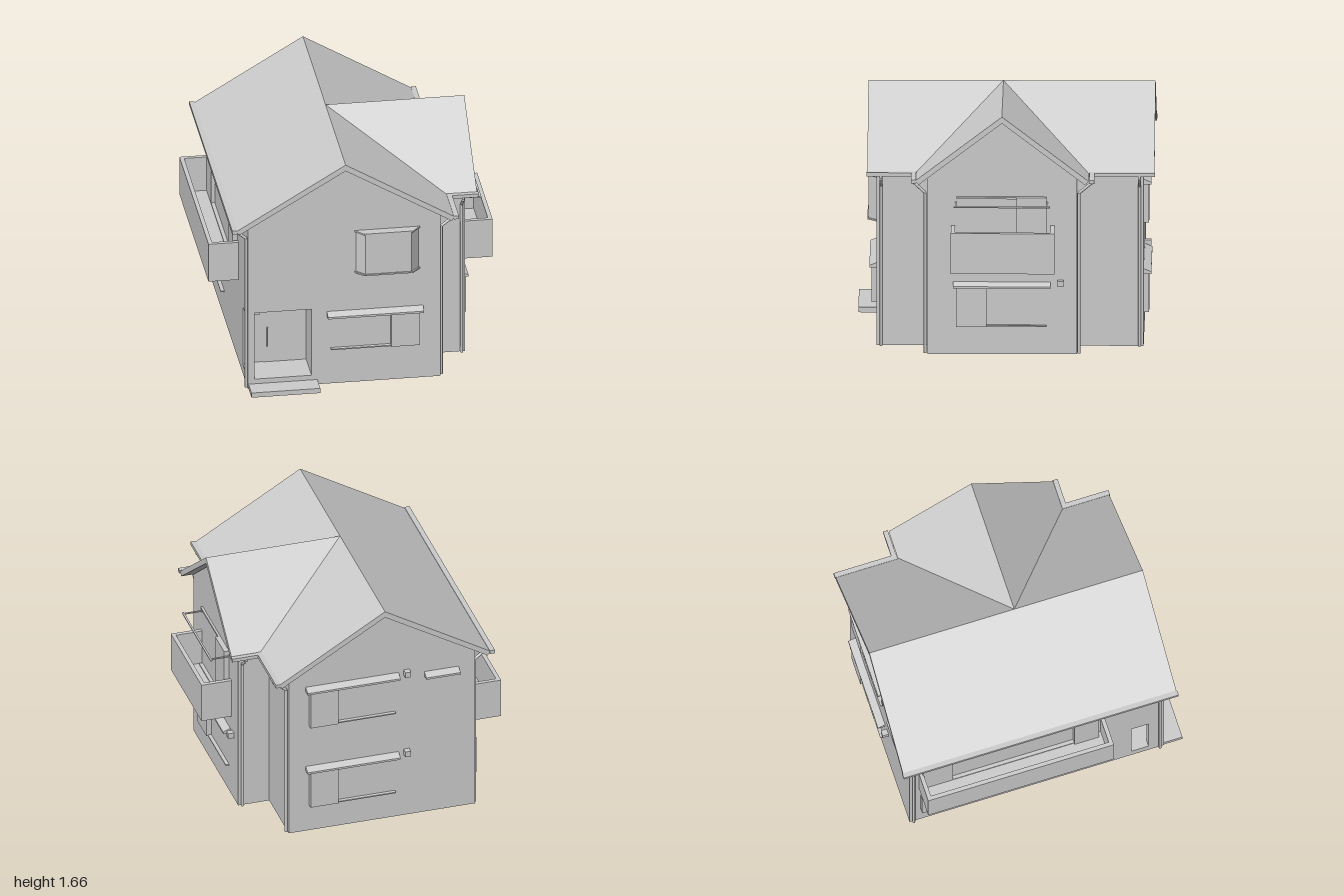
import * as THREE from 'three';

export function createModel() {
  const house = new THREE.Group();
  house.name = 'house';
  const grey = new THREE.MeshStandardMaterial({ color: 0xcccccc });
  grey.name = 'plain grey';

  const W = -0.764, E = 0.538, N = -0.917, S = 0.868; // main walls
  const EX = 0.755, WS = 0.53, WN = -0.475;           // wing walls
  const MX = (W + E) / 2, MZ = (WS + WN) / 2;         // ridge lines
  const PZ = 0.62;                                    // back of the porch

  function add(name, geo, parent = house) {
    const m = new THREE.Mesh(geo, grey);
    m.name = name;
    parent.add(m);
    return m;
  }
  // Box given by its limits on each axis
  function box(name, x0, x1, y0, y1, z0, z1, parent) {
    const m = add(name, new THREE.BoxGeometry(x1 - x0, y1 - y0, z1 - z0), parent);
    m.position.set((x0 + x1) / 2, (y0 + y1) / 2, (z0 + z1) / 2);
    return m;
  }
  // Profile extruded along z, or along x when alongX is set
  function prism(name, pts, from, to, alongX = false, parent) {
    const shape = new THREE.Shape(pts.map(p => new THREE.Vector2(...p)));
    const geo = new THREE.ExtrudeGeometry(shape, { depth: to - from, bevelEnabled: false });
    geo.translate(0, 0, from);
    if (alongX) geo.rotateY(Math.PI / 2); // profile x becomes -z
    return add(name, geo, parent);
  }

  // Main block, with the porch cut from its front slice
  prism('mainWalls', [[W, 0], [E, 0], [E, 1.225], [MX, 1.615], [W, 1.225]], N, PZ);
  prism('frontWalls', [[W, 0], [E, 0], [E, 1.225], [MX, 1.615], [W, 1.225],
    [W, 0.565], [-0.335, 0.565], [-0.335, 0.07], [W, 0.07]], PZ, S);
  box('porchFrontPost', W, -0.72, 0.07, 0.565, 0.76, S);
  box('porchBackPost', W, -0.72, 0.07, 0.565, PZ, 0.64);
  box('porchLintel', W, -0.72, 0.5, 0.565, 0.64, 0.76);
  box('doorStep', -0.76, -0.295, 0, 0.035, S, 1);
  box('door', -0.625, -0.34, 0.07, 0.53, PZ, PZ + 0.006);
  box('doorHandle', -0.602, -0.594, 0.19, 0.33, PZ, PZ + 0.02);
  box('intercom', -0.69, -0.65, 0.43, 0.47, PZ, PZ + 0.015);

  // Gabled wing
  prism('wingWalls', [[-WS, 0], [-WN, 0], [-WN, 1.224], [-MZ, 1.615], [-WS, 1.224]], 0.3, EX, true);

  // Roofs: a bent slab over each ridge
  function roof(name, mid, half, from, to, alongX) {
    prism(name, [[mid, 1.66], [mid - half, 1.216], [mid - half + 0.022, 1.188],
      [mid, 1.615], [mid + half - 0.022, 1.188], [mid + half, 1.216]], from, to, alongX);
  }
  roof('mainRoof', MX, 0.74, -0.99, 0.93, false);
  roof('wingRoof', -MZ, 0.58, MX, 0.825, true);

  // Gutters
  const G0 = 1.2, G1 = 1.225;
  box('westGutter', -0.88, -0.845, G0, G1, -0.995, 0.935);
  box('eastFrontGutter', 0.618, 0.652, G0, G1, 0.605, 0.935);
  box('eastBackGutter', 0.618, 0.652, G0, G1, -0.995, -0.555);
  box('wingFrontGutter', 0.618, 0.832, G0, G1, 0.602, 0.635);
  box('wingBackGutter', 0.618, 0.832, G0, G1, -0.59, -0.557);

  // Downpipes, bending from the gutter back to the wall
  function pipe(...pts) {
    const path = new THREE.CurvePath();
    const v = pts.map(p => new THREE.Vector3(...p));
    for (let i = 1; i < v.length; i++) path.add(new THREE.LineCurve3(v[i - 1], v[i]));
    path.curves.forEach(c => add('downpipe', new THREE.TubeGeometry(c, 1, 0.01, 8)));
  }
  for (const z of [0.838, -0.89]) {
    pipe([-0.865, 1.205, z], [-0.865, 1.19, z], [-0.772, 1.115, z], [-0.772, 0, z]);
    pipe([0.637, 1.205, z], [0.637, 1.18, z], [0.548, 1.11, z], [0.548, 0, z]);
  }
  for (const [g, w] of [[0.617, WS + 0.012], [-0.572, WN - 0.012]]) {
    pipe([0.73, 1.205, g], [0.73, 1.18, g], [0.73, 1.11, w], [0.73, 0, w]);
  }

  // Wall frames: local x runs along the wall, local z points outward
  function wall(name, angle, x, z) {
    const g = new THREE.Group();
    g.name = name;
    g.rotation.y = angle;
    g.position.set(x, 0, z);
    house.add(g);
    return g;
  }
  const front = wall('frontDetails', 0, 0, S);
  const back = wall('backDetails', Math.PI, 0, N);
  const east = wall('wingDetails', Math.PI / 2, EX, 0);
  const west = wall('westDetails', -Math.PI / 2, W, 0);

  // Sloping canopy: wedge profile in depth and height
  function canopy(parent, u0, u1, y) {
    const shape = new THREE.Shape([[0, 0], [0, 0.035], [-0.05, 0.014], [-0.05, 0]]
      .map(p => new THREE.Vector2(...p)));
    const geo = new THREE.ExtrudeGeometry(shape, { depth: u1 - u0, bevelEnabled: false });
    geo.rotateY(Math.PI / 2);
    geo.translate(u0, y, 0);
    add('canopy', geo, parent);
  }
  // Shutter case plus a sill rail
  function shutterWindow(parent, c0, c1, r0, r1, y0, y1) {
    box('shutterCase', c0, c1, y0, y1, 0, 0.035, parent);
    box('sillRail', r0, r1, y0, y0 + 0.008, 0, 0.025, parent);
    box('headRail', r0, r1, y1 - 0.014, y1, 0, 0.015, parent);
  }
  function vent(parent, u, y) {
    box('vent', u - 0.02, u + 0.02, y, y + 0.04, 0, 0.042, parent);
  }

  // Front lower window
  shutterWindow(front, 0.2, 0.395, -0.205, 0.2, 0.26, 0.51);
  canopy(front, -0.23, 0.42, 0.505);

  // Front upper bay: trapezoid plan between two plates
  function plan(name, a, b, d, y0, y1) {
    const shape = new THREE.Shape([[0.178 - a, 0], [0.178 + a, 0], [0.178 + b, -d], [0.178 - b, -d]]
      .map(p => new THREE.Vector2(...p)));
    const geo = new THREE.ExtrudeGeometry(shape, { depth: y1 - y0, bevelEnabled: false });
    geo.rotateX(-Math.PI / 2);
    geo.translate(0, y0, 0);
    add(name, geo, front);
  }
  plan('bayWindow', 0.21, 0.155, 0.056, 0.825, 1.125);
  plan('baySill', 0.222, 0.165, 0.064, 0.818, 0.828);
  plan('bayTop', 0.222, 0.165, 0.064, 1.122, 1.133);

  // Back windows on both floors
  for (const y of [0.195, 0.815]) {
    shutterWindow(back, -0.395, -0.2, -0.2, 0.205, y, y + 0.275);
    canopy(back, -0.42, 0.23, y + 0.272);
    vent(back, 0.285, y + 0.28);
  }
  canopy(back, 0.41, 0.65, 1.06);

  // Wing windows
  shutterWindow(east, -0.335, -0.13, -0.13, 0.27, 0.195, 0.47);
  canopy(east, -0.355, 0.297, 0.465);
  vent(east, 0.365, 0.475);
  shutterWindow(east, 0.07, 0.27, -0.33, 0.07, 0.64, 1.09);

  // Drying rail above the wing balcony
  box('dryingRail', -0.35, 0.295, 1.047, 1.055, 0.125, 0.138, east);
  for (const u of [-0.335, 0.275]) box('railArm', u - 0.005, u + 0.005, 1.047, 1.055, 0, 0.13, east);

  // West windows
  shutterWindow(west, -0.84, -0.61, -0.61, -0.19, 0.195, 0.465);
  box('shutterCase', -0.83, -0.62, 0.64, 1.09, 0, 0.025, west);
  shutterWindow(west, 0.23, 0.4, -0.62, 0.23, 0.64, 1.09);

  // Balconies: floor and three parapets
  function balcony(parent, u0, u1, depth) {
    const t = 0.028, y0 = 0.61, y1 = 0.89;
    box('balconyFloor', u0, u1, y0, y0 + 0.03, 0, depth, parent);
    box('balconyParapet', u0, u1, y0, y1, depth - t, depth, parent);
    box('balconyParapet', u0, u0 + t, y0, y1, 0, depth - t, parent);
    box('balconyParapet', u1 - t, u1, y0, y1, 0, depth - t, parent);
  }
  balcony(east, -0.368, 0.325, 0.21);
  balcony(west, -0.852, 0.452, 0.204);

  return house;
}
